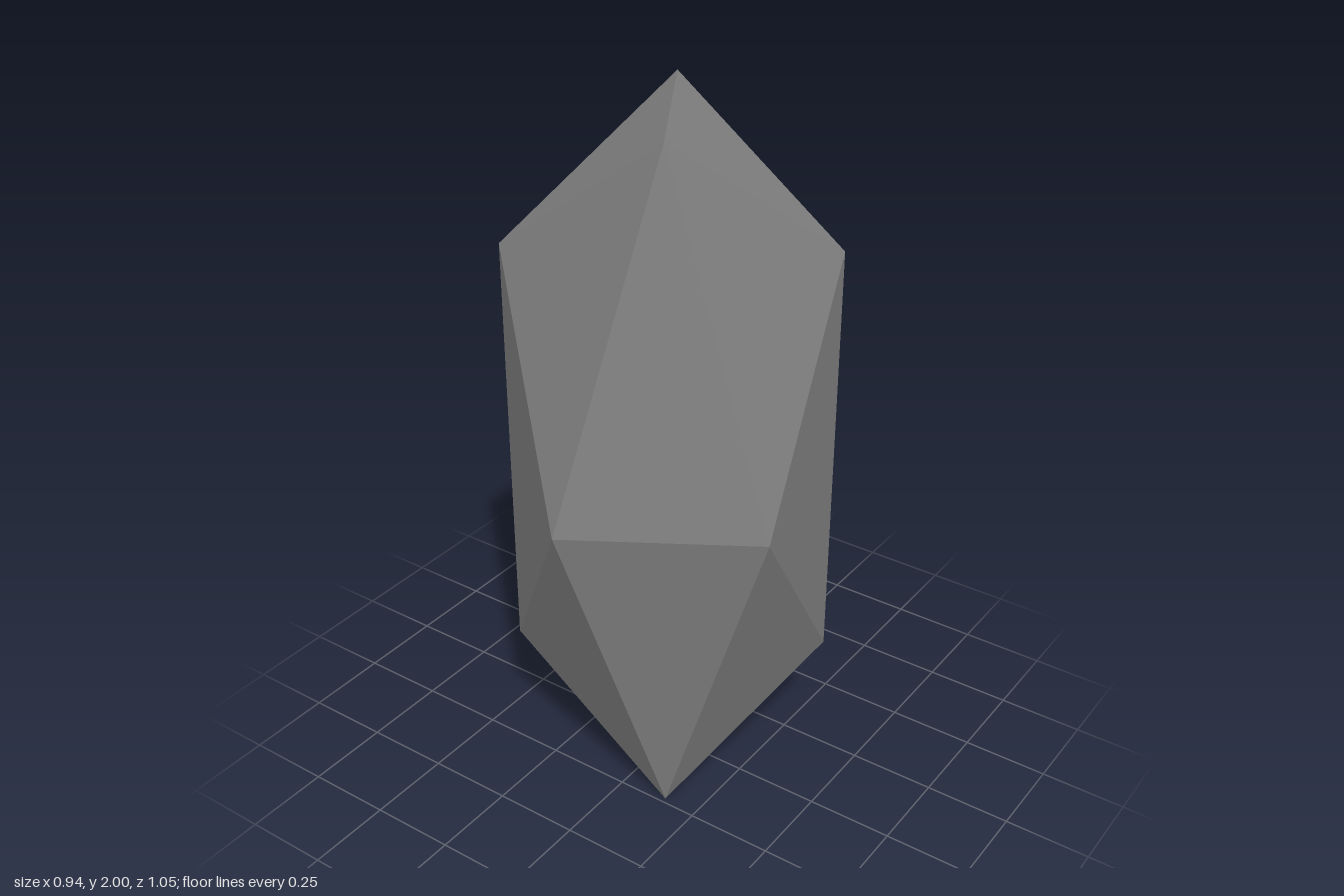
import * as THREE from 'three';

export function createModel() {
  const group = new THREE.Group();
  group.name = 'crystal';

  const greyStone = new THREE.MeshStandardMaterial({ color: 0x808080 });
  greyStone.name = 'greyStone';

  // Twenty-sided gem, turned about its axis and stretched upwards
  const radius = 0.5257;
  const golden = (1 + Math.sqrt(5)) / 2;
  const geometry = new THREE.IcosahedronGeometry(radius, 0);
  geometry.rotateY(-Math.atan(golden));
  geometry.computeBoundingBox();
  geometry.scale(1, 1 / geometry.boundingBox.max.y, 1);
  geometry.translate(0, 1, 0);
  geometry.computeVertexNormals(); // unshared corners keep the facets flat

  const gem = new THREE.Mesh(geometry, greyStone);
  gem.name = 'gem';
  group.add(gem);
  return group;
}
